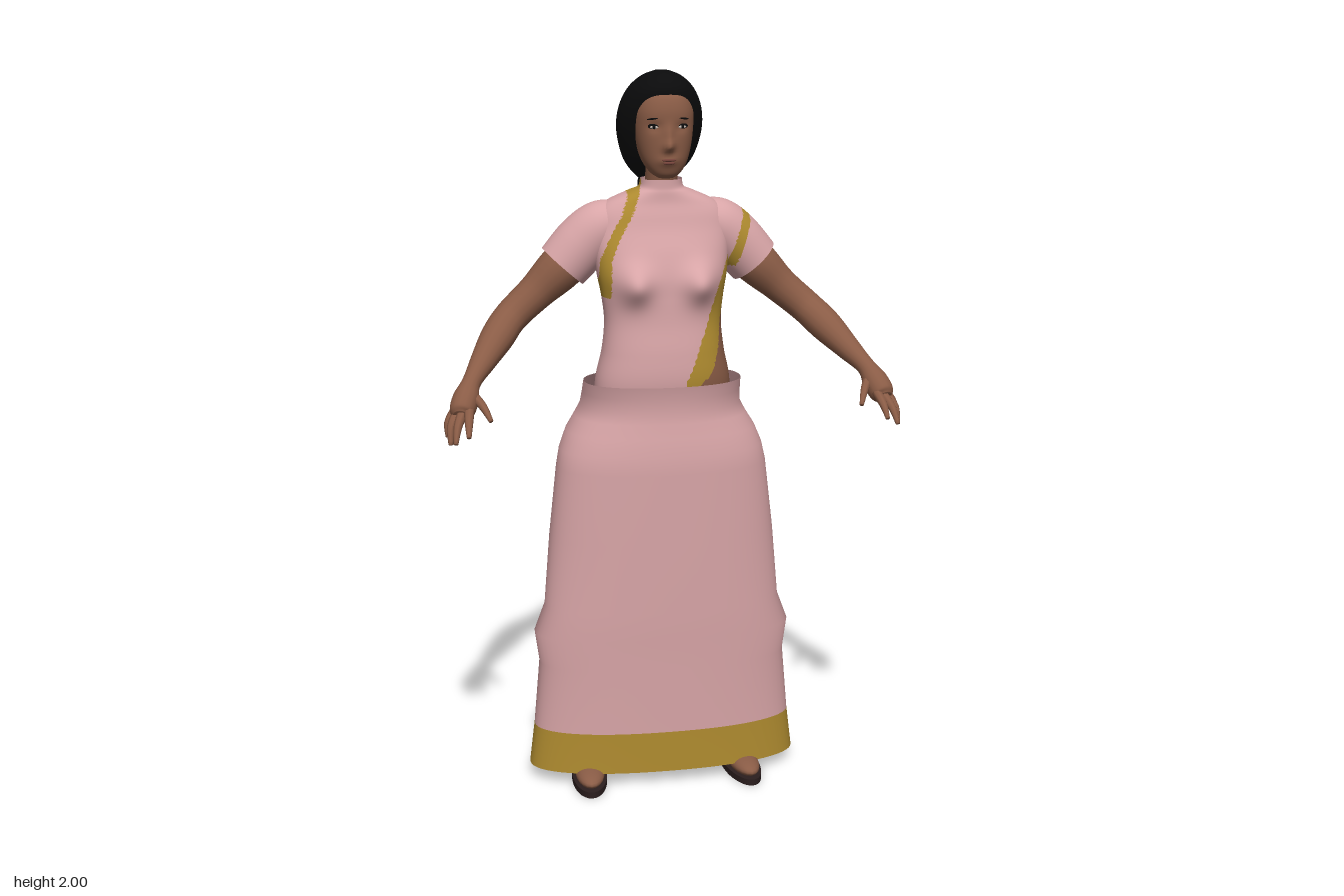
import * as THREE from 'three';

const mat = (name, color, double) => {
  const m = new THREE.MeshStandardMaterial({ color });
  m.name = name;
  if (double) m.side = THREE.DoubleSide;
  return m;
};
const V = (x, y, z) => new THREE.Vector3(x, y, z);

// piecewise linear lookup in [[key, value], ...]
function lookup(table, k) {
  for (let i = 1; i < table.length; i++) {
    const [a, va] = table[i - 1], [b, vb] = table[i];
    if (k <= b) return va + (vb - va) * Math.max(0, (k - a) / (b - a));
  }
  return table[table.length - 1][1];
}

// smooth interpolation of rows of numbers
function smoothRows(rows, steps) {
  const out = [];
  for (let i = 0; i < rows.length - 1; i++) {
    const p = rows[Math.max(0, i - 1)], a = rows[i], b = rows[i + 1], q = rows[Math.min(rows.length - 1, i + 2)];
    for (let s = 0; s < steps; s++) {
      const t = s / steps;
      out.push(a.map((v, k) => {
        const c1 = b[k] - p[k];
        const c2 = 2 * p[k] - 5 * v + 4 * b[k] - q[k];
        const c3 = 3 * (v - b[k]) + q[k] - p[k];
        return v + 0.5 * t * (c1 + t * (c2 + t * c3));
      }));
    }
  }
  out.push(rows[rows.length - 1]);
  return out;
}

// skin over closed rings; pick(x, y, z) gives the material index of each triangle
function loft(name, rings, materials, { caps = true, pick = () => 0 } = {}) {
  const n = rings[0].length, pts = rings.flat(), tris = [];
  for (let i = 0; i < rings.length - 1; i++) for (let j = 0; j < n; j++) {
    const a = i * n + j, b = i * n + (j + 1) % n;
    tris.push([a, b, b + n], [a, b + n, a + n]);
  }
  if (caps) [0, rings.length - 1].forEach((r, end) => {
    const c = pts.length;
    pts.push(rings[r].reduce((s, p) => s.add(p), V(0, 0, 0)).divideScalar(n));
    for (let j = 0; j < n; j++) {
      const a = r * n + j, b = r * n + (j + 1) % n;
      tris.push(end ? [a, b, c] : [b, a, c]);
    }
  });
  const buckets = materials.map(() => []);
  for (const t of tris) {
    const m = V(0, 0, 0);
    t.forEach(k => m.addScaledVector(pts[k], 1 / 3));
    buckets[pick(m.x, m.y, m.z)].push(...t);
  }
  const g = new THREE.BufferGeometry().setFromPoints(pts);
  g.setIndex(buckets.flat());
  let start = 0;
  buckets.forEach((b, i) => { g.addGroup(start, b.length, i); start += b.length; });
  g.computeVertexNormals();
  const mesh = new THREE.Mesh(g, materials);
  mesh.name = name;
  return mesh;
}

// horizontal rings from rows of [y, halfWidth, zBack, zFront]
function bodyRings(rows, segs, power = 2, bump = () => 0) {
  return rows.map(([y, w, zb, zf]) => Array.from({ length: segs }, (_, j) => {
    const a = j / segs * Math.PI * 2, c = Math.cos(a), s = -Math.sin(a);
    const x = w * Math.sign(c) * Math.abs(c) ** (2 / power);
    const z = (zb + zf) / 2 + (zf - zb) / 2 * Math.sign(s) * Math.abs(s) ** (2 / power);
    return V(x, y, z + (s > 0 ? bump(x, y) * Math.min(1, s * 2) : 0));
  }));
}

// rings along a curve with a varying radius, from [x, y, z, r]; side mirrors x
function limbRings(nodes, side, segs = 16, steps = 6) {
  const rows = smoothRows(nodes, steps), pts = rows.map(r => V(r[0] * side, r[1], r[2]));
  return pts.map((p, i) => {
    const T = pts[Math.min(i + 1, pts.length - 1)].clone().sub(pts[Math.max(i - 1, 0)]).normalize();
    const N = T.clone().cross(V(0, 0.3, 1)).normalize(), B = T.clone().cross(N);
    return Array.from({ length: segs }, (_, j) => {
      const a = j / segs * Math.PI * 2;
      return p.clone().addScaledVector(N, Math.cos(a) * rows[i][3]).addScaledVector(B, Math.sin(a) * rows[i][3]);
    });
  });
}

export function createModel() {
  const model = new THREE.Group();
  model.name = 'womanInLongDress';
  const pink = mat('pink cloth', 0xd8a5a7, true), gold = mat('gold border', 0xb08c30, true);
  const skin = mat('skin', 0x8a5c46), hair = mat('black hair', 0x0b0b0c);
  const sole = mat('dark sole', 0x2b1e1e), lip = mat('lips', 0x74433a), white = mat('eye white', 0xc9bdb4);
  const ball = (name, m, p, s, parent = model) => {
    const mesh = new THREE.Mesh(new THREE.SphereGeometry(1, 20, 14), m);
    mesh.name = name;
    mesh.position.set(...p);
    mesh.scale.set(...s);
    parent.add(mesh);
    return mesh;
  };

  // long skirt, open at the waist and hem, with a gold hem band
  const skirtRows = [
    [0.04, 0.385, -0.2, 0.07], [0.16, 0.37, -0.2, 0.07], [0.35, 0.353, -0.203, 0.074], [0.44, 0.365, -0.206, 0.076],
    [0.52, 0.335, -0.208, 0.08], [0.72, 0.318, -0.215, 0.08], [0.92, 0.295, -0.227, 0.082], [0.97, 0.285, -0.242, 0.08],
    [1.02, 0.265, -0.252, 0.072], [1.06, 0.24, -0.252, 0.065], [1.09, 0.224, -0.244, 0.062], [1.13, 0.22, -0.208, 0.064],
    [1.165, 0.218, -0.178, 0.072]];
  model.add(loft('skirt', bodyRings(skirtRows, 64, 2.25), [pink, gold], { caps: false, pick: (x, y) => (y < 0.16 ? 1 : 0) }));

  // torso with the wrapped cloth, its gold edges and the bare left side of the waist
  const leftEdge = [[1.17, 0.045], [1.3, 0.098], [1.42, 0.137], [1.5, 0.175], [1.6, 0.23]];
  const rightEdge = [[1.4, -0.163], [1.5, -0.16], [1.57, -0.13], [1.62, -0.1], [1.7, -0.07]];
  const sideGold = [[1.17, 0.055], [1.3, 0.005], [1.4, -0.03]];
  const onRightEdge = (x, y) => y > 1.4 && Math.abs(x - lookup(rightEdge, y)) < 0.014;
  const dressPick = (x, y, z) => {
    if (x < 0) return onRightEdge(x, y) ? 1 : 0;
    const d = x - lookup(leftEdge, y);
    if (d < 0 || y > 1.6) return 0;
    if (d < 0.028 || y > 1.37 || z > lookup(sideGold, y)) return 1;
    return 2;
  };
  const torsoRows = [
    [1.08, 0.19, -0.17, 0.05], [1.17, 0.185, -0.17, 0.066], [1.25, 0.168, -0.156, 0.064], [1.33, 0.16, -0.15, 0.054],
    [1.4, 0.167, -0.155, 0.05], [1.46, 0.178, -0.165, 0.046], [1.52, 0.185, -0.174, 0.03], [1.58, 0.188, -0.178, 0.006],
    [1.62, 0.178, -0.175, -0.006], [1.65, 0.148, -0.165, -0.015], [1.677, 0.09, -0.148, -0.018], [1.69, 0.062, -0.128, -0.02],
    [1.712, 0.056, -0.122, -0.02]];
  const bust = (x, y) => 0.042 * Math.exp(-(((Math.abs(x) - 0.09) / 0.045) ** 2) - ((y - 1.44) / 0.05) ** 2);
  model.add(loft('torso', bodyRings(smoothRows(torsoRows, 9), 120, 2.3, bust), [pink, gold, skin], { caps: false, pick: dressPick }));
  model.add(loft('neck', limbRings([[0, 1.64, -0.08, 0.05], [0, 1.7, -0.068, 0.044], [0, 1.79, -0.05, 0.046]], 1), [skin]));

  // sleeves, arms, hands, legs and sandals, mirrored
  for (const side of [1, -1]) {
    const sleevePick = (x, y) => {
      const onLeftEdge = y > 1.47 && Math.abs(x - 0.2 - 0.35 * (y - 1.5)) < 0.014;
      return (side > 0 ? onLeftEdge : onRightEdge(x, y)) ? 1 : 0;
    };
    model.add(loft('sleeve', limbRings([
      [0.11, 1.593, -0.092, 0.06], [0.16, 1.578, -0.1, 0.074], [0.21, 1.535, -0.107, 0.078], [0.265, 1.475, -0.108, 0.074]],
    side, 48, 14), [pink, gold], { caps: false, pick: sleevePick }));

    const arm = new THREE.Group();
    arm.name = side > 0 ? 'leftArm' : 'rightArm';
    model.add(arm);
    arm.add(loft('arm', limbRings([
      [0.19, 1.545, -0.106, 0.05], [0.265, 1.475, -0.108, 0.062], [0.34, 1.405, -0.105, 0.05], [0.41, 1.345, -0.083, 0.046],
      [0.455, 1.3, -0.025, 0.045], [0.5, 1.25, 0.04, 0.034], [0.535, 1.21, 0.098, 0.025], [0.552, 1.178, 0.13, 0.034],
      [0.566, 1.148, 0.158, 0.033], [0.57, 1.138, 0.17, 0.02]], side), [skin]));
    const fingers = [
      [[0.548, 1.152, 0.165], [0.553, 1.13, 0.215], [0.556, 1.1, 0.25]],
      [[0.565, 1.146, 0.165], [0.581, 1.118, 0.205], [0.589, 1.08, 0.235]],
      [[0.578, 1.142, 0.15], [0.597, 1.112, 0.18], [0.6, 1.07, 0.2]],
      [[0.582, 1.145, 0.135], [0.602, 1.115, 0.148], [0.604, 1.08, 0.158]],
      [[0.54, 1.185, 0.115], [0.513, 1.162, 0.17], [0.495, 1.13, 0.208]]];
    fingers.forEach((f, i) => arm.add(loft(i < 4 ? 'finger' : 'thumb',
      limbRings(f.map((p, k) => [...p, [0.014, 0.011, 0.006][k]]), side, 8, 4), [skin])));

    const leg = new THREE.Group();
    leg.name = side > 0 ? 'leftLeg' : 'rightLeg';
    model.add(leg);
    leg.add(loft('leg', limbRings([
      [0.22, 0.04, -0.07, 0.03], [0.218, 0.1, -0.075, 0.032], [0.2, 0.32, -0.085, 0.05], [0.18, 0.52, -0.07, 0.052],
      [0.14, 0.8, -0.075, 0.075], [0.11, 1.0, -0.08, 0.085]], side), [skin]));
    const foot = new THREE.Group();
    foot.name = 'foot';
    foot.position.set(0.222 * side, 0, 0);
    foot.rotation.y = 0.08 * side;
    leg.add(foot);
    ball('footTop', skin, [0, 0.032, 0.015], [0.042, 0.026, 0.1], foot);
    ball('heel', skin, [0, 0.04, -0.075], [0.034, 0.034, 0.042], foot);
    const base = new THREE.Mesh(new THREE.CylinderGeometry(1, 1, 0.018, 32), sole);
    base.name = 'sandalSole';
    base.scale.set(0.05, 1, 0.13);
    base.position.set(0, 0.009, -0.005);
    foot.add(base);
  }

  // head with a modelled nose, brow and mouth
  const headRows = [
    [1.722, 0.02, -0.02, 0.022], [1.735, 0.04, -0.05, 0.036], [1.765, 0.06, -0.09, 0.046], [1.81, 0.073, -0.12, 0.05],
    [1.86, 0.079, -0.13, 0.05], [1.9, 0.078, -0.13, 0.05], [1.935, 0.064, -0.12, 0.04], [1.955, 0.035, -0.1, 0.02]];
  const g2 = (x, y, cx, cy, sx, sy) => Math.exp(-(((x - cx) / sx) ** 2) - ((y - cy) / sy) ** 2);
  const face = (x, y) => 0.021 * g2(x, y, 0, 1.808, 0.014, 0.015) + 0.01 * g2(x, y, 0, 1.835, 0.01, 0.025)
    + 0.008 * g2(x, y, 0, 1.77, 0.025, 0.012) - 0.006 * g2(Math.abs(x), y, 0.037, 1.858, 0.016, 0.012);
  model.add(loft('head', bodyRings(smoothRows(headRows, 6), 72, 2.3, face), [skin]));
  for (const s of [1, -1]) {
    const eye = new THREE.Group();
    eye.name = 'eye';
    eye.position.set(0.037 * s, 1.858, 0.0375);
    eye.rotation.y = 0.3 * s;
    model.add(eye);
    ball('eyeLashes', hair, [0, 0.002, 0], [0.017, 0.0075, 0.003], eye);
    ball('eyeWhite', white, [0, 0, 0.0012], [0.012, 0.0045, 0.003], eye);
    ball('iris', hair, [0, 0, 0.0025], [0.0048, 0.0048, 0.003], eye);
    ball('eyebrow', hair, [0, 0.022, 0.003], [0.019, 0.0025, 0.004], eye).rotation.z = -0.12 * s;
  }
  ball('upperLip', lip, [0, 1.773, 0.0535], [0.02, 0.004, 0.004]);
  ball('lowerLip', lip, [0, 1.765, 0.052], [0.016, 0.0045, 0.004]);

  // combed hair framing the face
  const hairRows = [
    [1.695, 0.04, -0.195, -0.13], [1.735, 0.078, -0.202, -0.075], [1.775, 0.1, -0.203, -0.035], [1.84, 0.115, -0.203, 0],
    [1.9, 0.11, -0.2, 0.026], [1.95, 0.087, -0.18, 0.036], [1.982, 0.054, -0.135, 0.015], [1.997, 0.02, -0.085, -0.02]];
  model.add(loft('hair', bodyRings(smoothRows(hairRows, 5), 48, 2.1), [hair]));

  // long plait down the back, made of alternating strands
  const plait = new THREE.Group();
  plait.name = 'plait';
  model.add(plait);
  const path = new THREE.CatmullRomCurve3([V(0, 1.73, -0.175), V(0, 1.63, -0.198), V(0, 1.5, -0.212), V(0, 1.38, -0.21), V(0, 1.32, -0.2)]);
  const count = 20;
  for (let i = 0; i < count; i++) {
    const t = i / (count - 1), p = path.getPoint(t), r = 0.036 - 0.021 * t, s = i % 2 ? 1 : -1;
    ball('strand', hair, [s * r * 0.45, p.y, p.z], [r * 0.85, r * 0.95, r * 0.85], plait).rotation.z = s * 0.6;
  }
  ball('plaitTip', hair, [0, 1.315, -0.198], [0.011, 0.035, 0.011], plait);

  return model;
}
